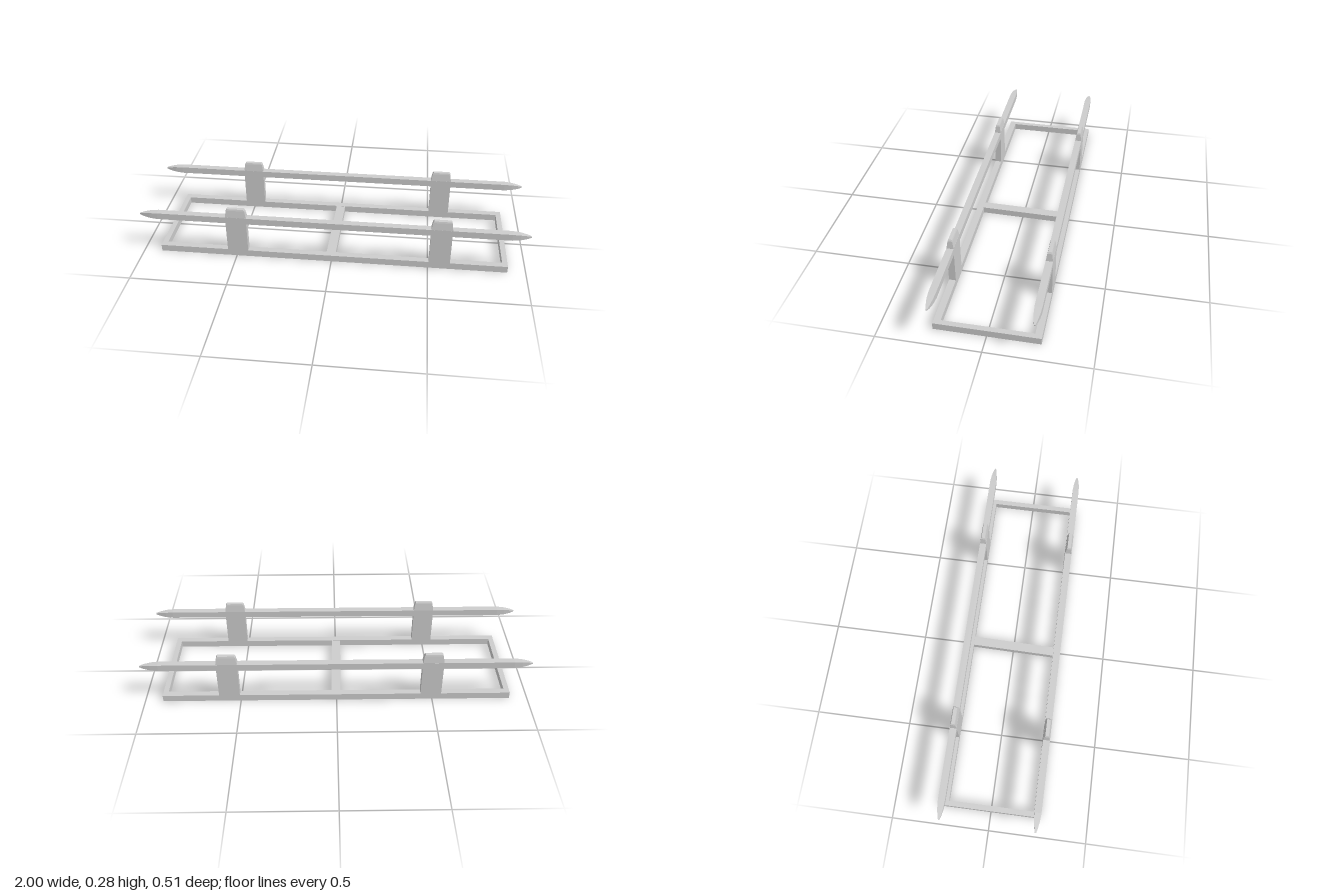
import * as THREE from 'three';

const material = new THREE.MeshStandardMaterial({ color: 0xcccccc, flatShading: true });
const SIDE_Z = 0.237; // centre line of each long side

function addMesh(parent, name, geometry, x = 0, y = 0, z = 0) {
  const mesh = new THREE.Mesh(geometry, material);
  mesh.name = name;
  mesh.position.set(x, y, z);
  parent.add(mesh);
  return mesh;
}

// Capped bar along y through rectangular sections [y, halfX, halfZ]
function loftBar(sections) {
  const positions = [], index = [];
  for (const [y, hx, hz] of sections) {
    positions.push(-hx, y, hz, hx, y, hz, hx, y, -hz, -hx, y, -hz);
  }
  for (let s = 0; s < sections.length - 1; s++) {
    for (let i = 0; i < 4; i++) {
      const a = s * 4 + i, b = s * 4 + (i + 1) % 4;
      index.push(a, b, b + 4, a, b + 4, a + 4);
    }
  }
  const t = (sections.length - 1) * 4;
  index.push(0, 2, 1, 0, 3, 2, t, t + 1, t + 2, t, t + 2, t + 3);
  const geometry = new THREE.BufferGeometry();
  geometry.setAttribute('position', new THREE.Float32BufferAttribute(positions, 3));
  geometry.setIndex(index);
  const flat = geometry.toNonIndexed();
  flat.computeVertexNormals();
  return flat;
}

function rectangle(path, hx, hy) {
  path.moveTo(-hx, -hy);
  path.lineTo(hx, -hy);
  path.lineTo(hx, hy);
  path.lineTo(-hx, hy);
  path.closePath();
  return path;
}

export function createModel() {
  const model = new THREE.Group();
  model.name = 'rackFrame';

  // Rectangular base frame lying on the ground
  const outline = rectangle(new THREE.Shape(), 0.906, 0.254);
  outline.holes.push(rectangle(new THREE.Path(), 0.879, 0.22));
  const base = new THREE.ExtrudeGeometry(outline, { depth: 0.036, bevelEnabled: false });
  base.rotateX(-Math.PI / 2);
  addMesh(model, 'baseFrame', base);

  // Slightly skewed middle crossbar
  const crossbar = addMesh(model, 'crossbar', new THREE.BoxGeometry(0.048, 0.034, 0.45), 0, 0.018, 0);
  crossbar.rotation.y = -0.016;

  // Rail with a tapering point at both ends
  const tip = [[0.905, 0.0175], [0.945, 0.0145], [0.98, 0.0085], [1, 0.003]];
  const railSections = [
    ...tip.slice().reverse().map(([p, h]) => [-p, h, h]),
    ...tip.map(([p, h]) => [p, h, h]),
  ];
  const rail = loftBar(railSections).rotateZ(-Math.PI / 2);

  // Post with a narrowed, bevelled cap
  const post = loftBar([
    [0.03, 0.054, 0.0172],
    [0.238, 0.054, 0.0172],
    [0.276, 0.048, 0.0115],
    [0.284, 0.043, 0.009],
  ]);

  for (const [side, z] of [['front', SIDE_Z], ['back', -SIDE_Z]]) {
    addMesh(model, side + 'Rail', rail, 0, 0.2195, z);
    addMesh(model, side + 'RightPost', post, -0.492, 0, z);
    addMesh(model, side + 'LeftPost', post, 0.558, 0, z);
  }
  return model;
}
